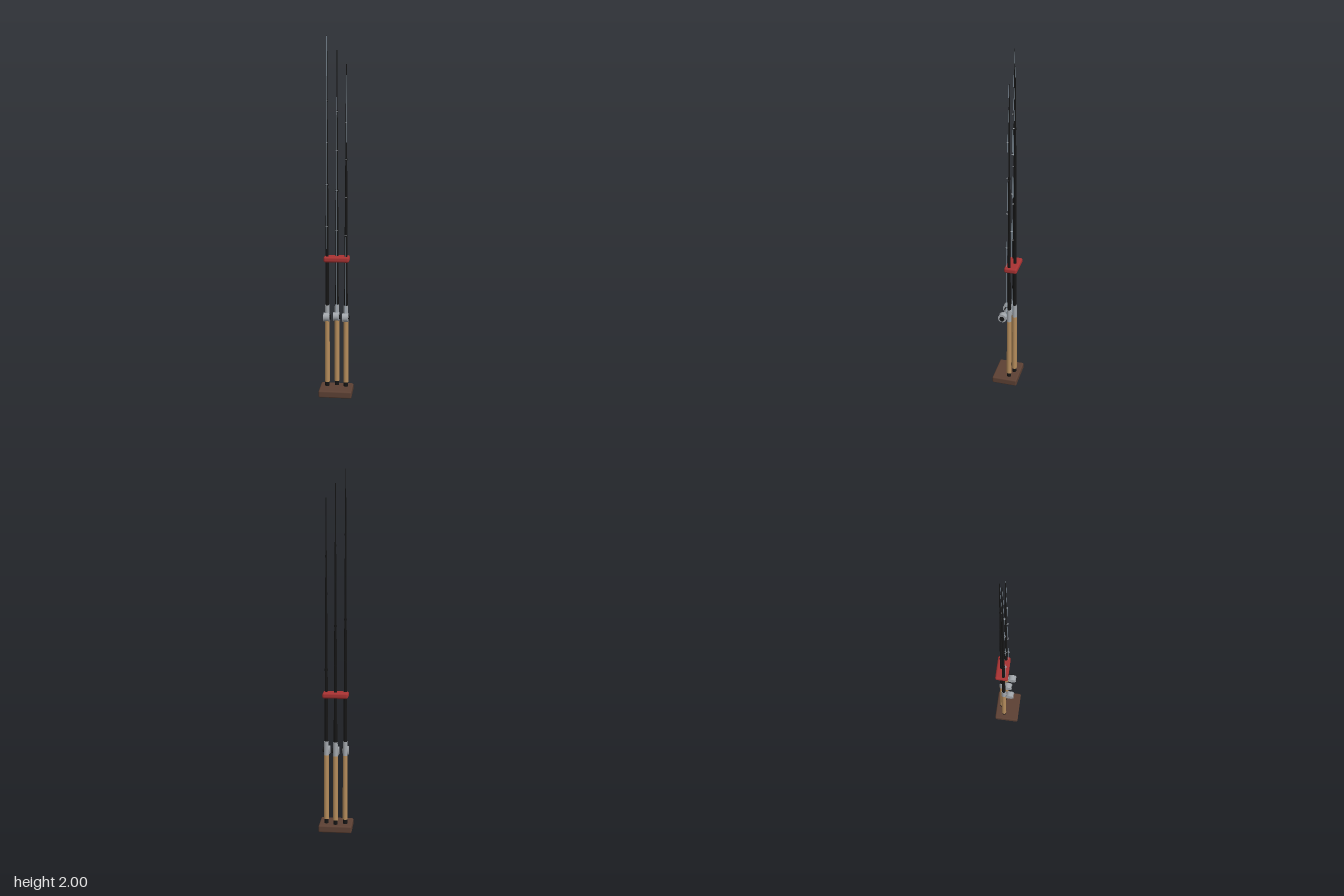
import * as THREE from 'three';
import { RoundedBoxGeometry } from 'three/addons/geometries/RoundedBoxGeometry.js';

const mat = (color, opts = {}) => {
  const m = new THREE.MeshStandardMaterial(opts);
  m.color.set(color);
  return m;
};

export function createModel() {
  const wood = mat(0x5c4033), red = mat(0xa83232), cork = mat(0xb68d5c);
  const black = mat(0x151515), metal = mat(0xa3a8ad), line = mat(0xa9bccb);

  const add = (parent, name, geometry, material, x = 0, y = 0, z = 0) => {
    const mesh = new THREE.Mesh(geometry, material);
    mesh.name = name;
    mesh.position.set(x, y, z);
    parent.add(mesh);
    return mesh;
  };
  // Upright cylinder between two heights
  const upright = (parent, name, rTop, rBottom, y0, y1, material, z = 0, sides = 16) =>
    add(parent, name, new THREE.CylinderGeometry(rTop, rBottom, y1 - y0, sides), material, 0, (y0 + y1) / 2, z);
  // Cylinder lying along x between two positions
  const across = (parent, name, r, x0, x1, material, sides = 20) => {
    const g = new THREE.CylinderGeometry(r, r, x1 - x0, sides).rotateZ(Math.PI / 2);
    return add(parent, name, g, material, (x0 + x1) / 2);
  };

  // Reel: two side plates, spool, crank and the foot that reaches back to the rod
  function makeReel() {
    const reel = new THREE.Group();
    reel.name = 'reel';
    across(reel, 'spool', 0.023, -0.012, 0.012, metal);
    for (const s of [-1, 1]) across(reel, 'sidePlate', 0.025, s * 0.0135 - 0.0025, s * 0.0135 + 0.0025, metal);
    across(reel, 'crankHub', 0.006, 0.016, 0.02, metal, 12);
    across(reel, 'crankKnob', 0.014, 0.018, 0.024, black, 16);
    add(reel, 'reelFoot', new THREE.BoxGeometry(0.01, 0.02, 0.025), metal, 0, 0, -0.024);
    return reel;
  }

  function makeRod(tip) {
    const rod = new THREE.Group();
    rod.name = 'fishingRod';
    upright(rod, 'buttCap', 0.0125, 0.0125, 0.037, 0.066, black);
    upright(rod, 'corkGrip', 0.0135, 0.0145, 0.065, 0.435, cork);
    upright(rod, 'reelSeat', 0.0125, 0.0135, 0.43, 0.515, metal);

    // Tapered blank
    const foot = 0.5, length = tip - foot;
    const radiusAt = (y) => 0.0105 - 0.0085 * (y - foot) / length;
    upright(rod, 'blank', radiusAt(tip), radiusAt(foot), foot, tip, black, 0, 12);

    // Line guides, with the line running through them to the tip
    const path = [new THREE.Vector3(0, 0.465, 0.0145)];
    for (const t of [0.31, 0.465, 0.62, 0.77]) {
      const y = foot + length * t, r = 0.0065 - 0.003 * t;
      const z = radiusAt(y) + r;
      const ring = add(rod, 'lineGuide', new THREE.TorusGeometry(r, 0.0012, 6, 14), metal, 0, y, z);
      ring.rotation.x = Math.PI / 2;
      upright(rod, 'guideWrap', radiusAt(y) + 0.001, radiusAt(y) + 0.001, y - 0.006, y + 0.006, black, 0, 12);
      path.push(new THREE.Vector3(0, y, z));
    }
    path.push(new THREE.Vector3(0, tip - 0.003, 0.002));
    const curve = new THREE.CurvePath();
    for (let i = 1; i < path.length; i++) curve.add(new THREE.LineCurve3(path[i - 1], path[i]));
    add(rod, 'line', new THREE.TubeGeometry(curve, 40, 0.0007, 5), line);

    const reel = makeReel();
    reel.position.set(0, 0.455, 0.038);
    rod.add(reel);
    return rod;
  }

  const model = new THREE.Group();
  model.name = 'rodStand';

  // Base board and upper holder
  add(model, 'base', new RoundedBoxGeometry(0.186, 0.04, 0.148, 3, 0.008), wood, 0, 0.02, 0);
  add(model, 'holder', new RoundedBoxGeometry(0.143, 0.032, 0.074, 4, 0.011), red, 0, 0.78, -0.03);

  // Three rods, the middle one set further back
  for (const [x, z, tip] of [[-0.053, -0.02, 2], [0, -0.039, 1.925], [0.053, -0.02, 1.85]]) {
    const rod = makeRod(tip);
    rod.position.set(x, 0, z);
    model.add(rod);
  }
  return model;
}
